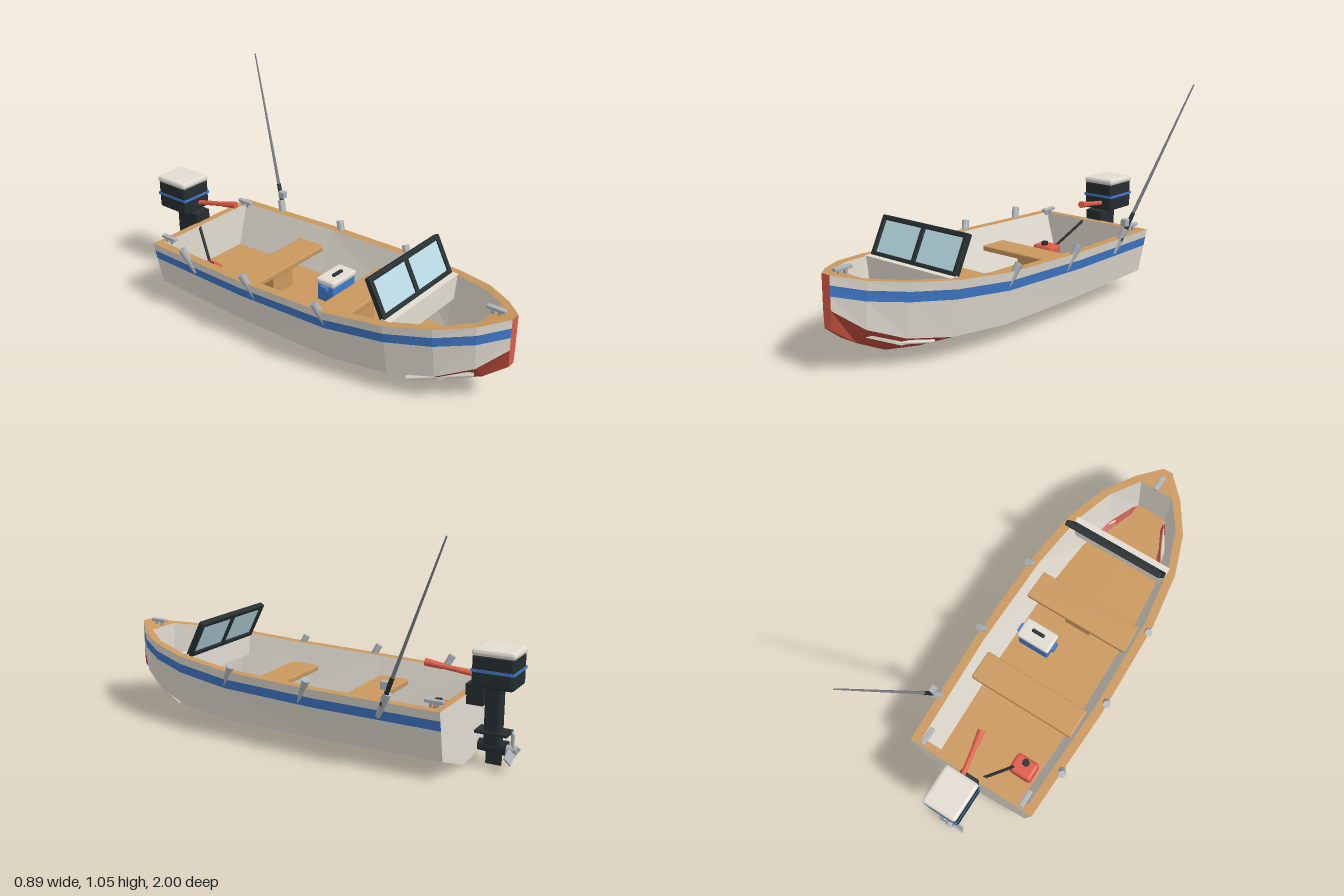
import * as THREE from 'three';
import { RoundedBoxGeometry } from 'three/addons/geometries/RoundedBoxGeometry.js';

const paint = (name, color) => {
  const m = new THREE.MeshStandardMaterial({ color, side: THREE.DoubleSide });
  m.name = name;
  return m;
};
const V = (x, y, z) => new THREE.Vector3(x, y, z);

export function createModel() {
  const white = paint('hull white', 0xe2dcd1), bottomRed = paint('bottom red', 0xb94a3b);
  const red = paint('bright red', 0xdc5c48), blue = paint('blue', 0x4079ca);
  const wood = paint('wood', 0xca985e), black = paint('black', 0x262e30);
  const glass = paint('glass', 0xb8d9e3), metal = paint('metal', 0xadb3b9), grey = paint('rod grey', 0x7c8186);

  const model = new THREE.Group();
  model.name = 'motorBoat';
  const boat = new THREE.Group();
  boat.name = 'boat';
  boat.position.x = -0.077;
  model.add(boat);

  const add = (name, geo, mat, parent = boat) => {
    const m = new THREE.Mesh(geo, mat);
    m.name = name;
    parent.add(m);
    return m;
  };
  const box = (name, mat, w, h, d, x, y, z, parent) => {
    const m = add(name, new THREE.BoxGeometry(w, h, d), mat, parent);
    m.position.set(x, y, z);
    return m;
  };
  // box with flat chamfered edges
  const bevel = (name, mat, w, h, d, x, y, z, r, parent) => {
    const g = new RoundedBoxGeometry(w, h, d, 1, r);
    g.computeVertexNormals();
    const m = add(name, g, mat, parent);
    m.position.set(x, y, z);
    return m;
  };
  // tapered rod from a to b
  const bar = (name, mat, a, b, r0, r1 = r0, sides = 8) => {
    const d = b.clone().sub(a);
    const m = add(name, new THREE.CylinderGeometry(r1, r0, d.length(), sides), mat);
    m.position.copy(a).add(b).multiplyScalar(0.5);
    m.quaternion.setFromUnitVectors(V(0, 1, 0), d.normalize());
    return m;
  };
  // flat-faced strip between two edge lines, mirrored across the centreline
  const strip = (name, mat, a, b) => {
    const p = [];
    for (const s of [1, -1]) {
      for (let i = 0; i + 1 < a.length; i++) {
        const q = [a[i], a[i + 1], b[i + 1], b[i]];
        const order = s > 0 ? [0, 1, 2, 0, 2, 3] : [0, 2, 1, 0, 3, 2];
        order.forEach(k => p.push(q[k].x * s, q[k].y, q[k].z));
      }
    }
    const g = new THREE.BufferGeometry();
    g.setAttribute('position', new THREE.Float32BufferAttribute(p, 3));
    g.computeVertexNormals();
    return add(name, g, mat);
  };

  // hull stations: z, sheer half-width and y, chine half-width and y, keel half-width and y, floor half-width
  const stations = [
    [-0.78, 0.33, 0.315, 0.285, 0.09, 0.057, 0, 0.228],
    [-0.2, 0.352, 0.325, 0.305, 0.09, 0.057, 0, 0.245],
    [0.28, 0.34, 0.337, 0.296, 0.09, 0.057, 0, 0.24],
    [0.56, 0.3, 0.36, 0.255, 0.105, 0.057, 0.018, 0.215],
    [0.755, 0.23, 0.383, 0.192, 0.138, 0.056, 0.056, 0.157],
    [0.9, 0.13, 0.403, 0.114, 0.197, 0.05, 0.126, 0.078],
    [1, 0.024, 0.427, 0.024, 0.282, 0.02, 0.2, 0]];
  const sheer = stations.map(s => V(s[1], s[2], s[0]));
  const chine = stations.map(s => V(s[3], s[4], s[0]));
  const keel = stations.map(s => V(s[5], s[6], s[0]));
  const mid = l => l.map(p => V(0, p.y, p.z));
  const below = d => sheer.map((p, i) => p.clone().lerp(chine[i], d / (p.y - chine[i].y)));
  const stripeTop = below(0.041), stripeLow = below(0.086);
  strip('keelFlat', bottomRed, mid(keel), keel);
  strip('hullBottom', bottomRed, keel, chine);
  strip('hullSides', white, chine, stripeLow);
  strip('sideStripe', blue, stripeLow, stripeTop);
  strip('topStrake', white, stripeTop, sheer);
  const endCap = i => [[keel[i], chine[i], sheer[i]], mid([keel[i], chine[i], sheer[i]])];
  strip('transom', white, ...endCap(0));
  strip('bowStem', red, ...endCap(6));

  // inner liner, floor and gunwale
  const innerZ = (s, i) => i === 0 ? -0.745 : Math.min(s[0], 0.89);
  const inside = stations.slice(0, 6);
  const rim = inside.map((s, i) => V(s[1] - 0.042, s[2], innerZ(s, i)));
  const floor = inside.map((s, i) => V(s[7], Math.max(0.1, s[6] + 0.03), innerZ(s, i)));
  strip('innerWalls', white, rim, floor);
  strip('floor', wood, floor, mid(floor));
  for (const i of [0, 5]) strip('innerEnd', white, [rim[i], floor[i]], mid([rim[i], floor[i]]));
  strip('gunwale', wood, [...sheer, ...mid([sheer[6]])], [...rim, rim[5], ...mid([rim[5]])]);
  strip('transomCap', wood, [sheer[0], rim[0]], mid([sheer[0], rim[0]]));

  // spray rails under the bow, the left one set deeper into the hull
  bar('rightSprayRail', white, V(-0.212, 0.09, 0.63), V(-0.087, 0.147, 0.88), 0.011, 0.011, 4);
  bar('leftSprayRail', white, V(0.22, 0.099, 0.63), V(0.142, 0.112, 0.77), 0.008, 0.008, 4);

  // benches with pedestals
  for (const z of [-0.29, 0.205]) {
    bevel('bench', wood, 0.56, 0.028, 0.15, 0, 0.225, z, 0.006);
    box('benchPedestal', wood, 0.14, 0.115, 0.1, 0, 0.157, z);
  }

  // dash and windshield
  box('dash', white, 0.524, 0.115, 0.046, 0, 0.305, 0.553);
  const shield = new THREE.Group();
  shield.name = 'windshield';
  shield.position.set(0, 0.353, 0.535);
  shield.rotation.x = -0.46;
  boat.add(shield);
  for (const x of [-0.248, 0, 0.248]) bevel('windshieldPost', black, 0.022, 0.19, 0.028, x, 0.095, 0, 0.004, shield);
  for (const y of [0.011, 0.179]) bevel('windshieldRail', black, 0.518, 0.022, 0.028, 0, y, 0, 0.004, shield);
  for (const x of [-0.124, 0.124]) box('windowPane', glass, 0.23, 0.15, 0.008, x, 0.095, 0, shield);

  // cleats
  for (const [x, y, z] of [[0, 0.434, 0.915], [0.267, 0.337, -0.73], [-0.267, 0.337, -0.73]]) {
    bevel('cleat', metal, 0.024, 0.016, 0.088, x, y, z, 0.004);
    for (const dz of [-0.016, 0.016]) box('cleatPost', metal, 0.014, 0.026, 0.014, x, y - 0.014, z + dz);
  }

  // rod holders on both sides
  for (const s of [1, -1]) {
    for (const [z, w] of [[0.265, 0.34], [-0.14, 0.353], [-0.525, 0.35]]) {
      bar('rodHolder', metal, V(s * (w - 0.033), 0.25, z + 0.025), V(s * w, 0.365, z - 0.03), 0.015, 0.018);
    }
  }

  // fishing rod
  const butt = V(0.33, 0.27, -0.51), tip = V(0.517, 1.052, -0.86);
  const onRod = t => butt.clone().lerp(tip, t);
  bar('fishingRod', grey, onRod(0.1), tip, 0.009, 0.0035, 6);
  bar('rodGrip', black, onRod(0.05), onRod(0.22), 0.012, 0.01);
  const reel = onRod(0.165);
  box('reel', metal, 0.028, 0.034, 0.034, reel.x - 0.008, reel.y, reel.z + 0.022);

  // fuel tank and hose
  bevel('fuelTank', red, 0.118, 0.09, 0.094, -0.163, 0.145, -0.588, 0.014);
  bar('fuelCap', black, V(-0.163, 0.185, -0.57), V(-0.163, 0.207, -0.57), 0.018);
  bar('fuelHose', black, V(-0.125, 0.18, -0.61), V(-0.046, 0.31, -0.755), 0.007);

  // cooler
  bevel('coolerBody', blue, 0.168, 0.092, 0.098, 0.127, 0.145, -0.012, 0.008);
  bevel('coolerLid', white, 0.18, 0.03, 0.108, 0.127, 0.203, -0.012, 0.01);
  bevel('coolerHandle', black, 0.07, 0.014, 0.018, 0.127, 0.222, -0.005, 0.005);
  for (const s of [1, -1]) box('coolerGrip', blue, 0.026, 0.02, 0.045, 0.127 + s * 0.092, 0.178, -0.012);

  // outboard motor
  bevel('motorCowl', black, 0.165, 0.145, 0.185, 0, 0.435, -0.903, 0.012);
  bevel('cowlCap', white, 0.172, 0.032, 0.192, 0, 0.514, -0.904, 0.013);
  box('cowlStripe', blue, 0.169, 0.013, 0.189, 0, 0.437, -0.903);
  box('motorBracket', black, 0.09, 0.09, 0.08, 0, 0.318, -0.815);
  bevel('motorLeg', black, 0.06, 0.27, 0.075, 0, 0.235, -0.892, 0.012);
  box('cavitationPlate', black, 0.09, 0.012, 0.145, 0, 0.157, -0.893);
  bar('gearcase', black, V(0, 0.09, -0.83), V(0, 0.09, -0.955), 0.028, 0.035);
  box('skeg', black, 0.016, 0.07, 0.068, 0, 0.045, -0.898);

  // propeller
  bar('propellerHub', metal, V(0, 0.09, -0.95), V(0, 0.09, -0.998), 0.02, 0.014);
  for (let i = 0; i < 3; i++) {
    const blade = new THREE.Group();
    blade.name = 'propellerBlade';
    blade.position.set(0, 0.09, -0.978);
    blade.rotation.z = i * Math.PI * 2 / 3;
    boat.add(blade);
    box('blade', metal, 0.045, 0.06, 0.008, 0, 0.044, 0, blade).rotation.y = 0.5;
  }

  // steering tiller
  const t0 = V(0.017, 0.4, -0.815), t1 = V(0.055, 0.435, -0.59);
  bar('tillerArm', red, t0, t1, 0.012);
  bar('tillerGrip', red, t0.clone().lerp(t1, 0.65), t1, 0.014, 0.018);

  return model;
}
